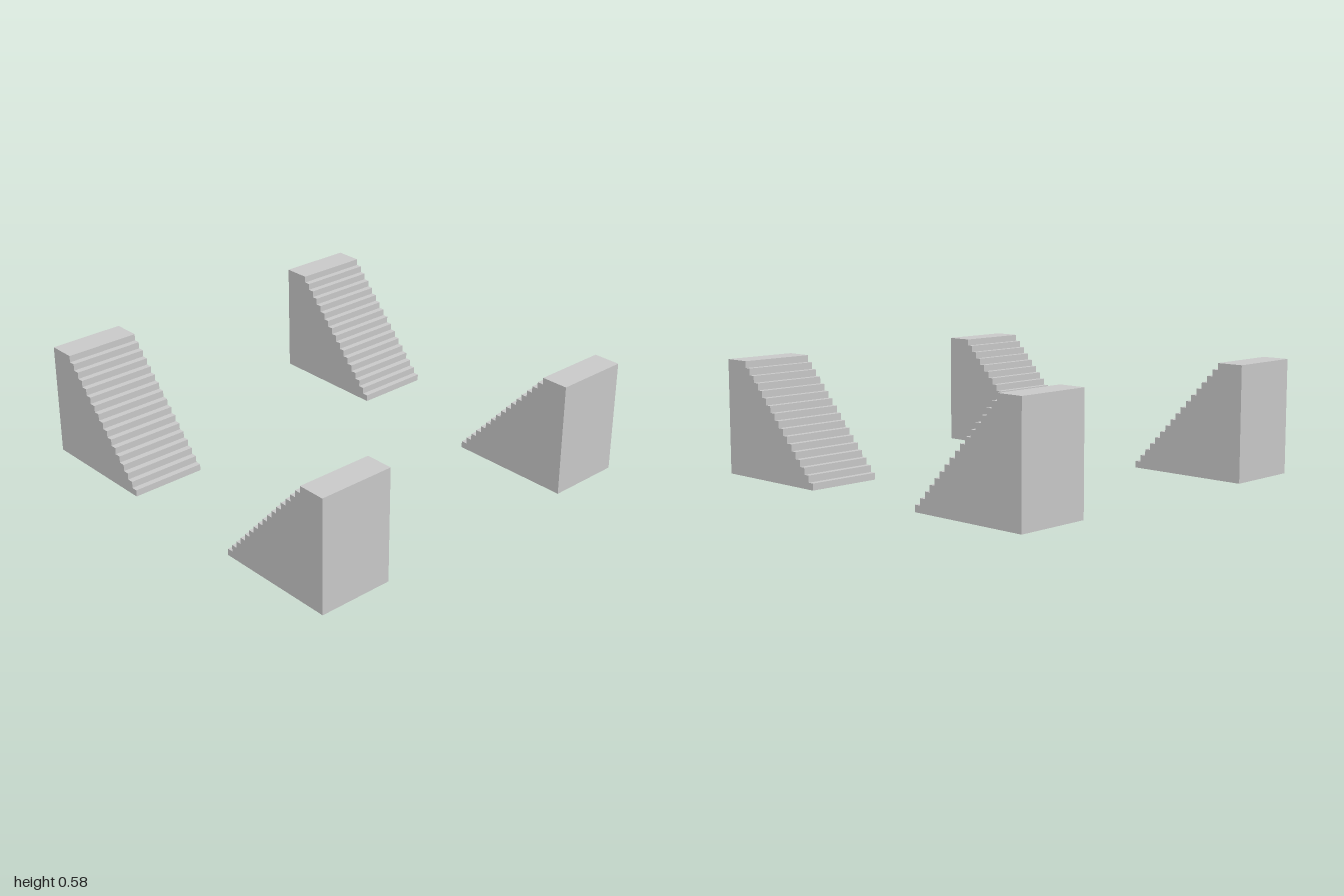
import * as THREE from 'three';

const STEPS = 17;           // levels, the last one being the landing
const INNER = 0.355, LANDING = 0.86, OUTER = 1;
const HEIGHT = 0.577;
const HALF_WIDTH = 0.195, ROW_Z = 0.768;

// Stepped outline, from the foot of the first riser to the foot of the tall wall
function stairProfile() {
  const run = (LANDING - INNER) / (STEPS - 1), rise = HEIGHT / STEPS;
  const points = [];
  for (let i = 0; i < STEPS; i++) {
    const x = INNER + i * run;
    points.push(new THREE.Vector2(x, i * rise), new THREE.Vector2(x, (i + 1) * rise));
  }
  points.push(new THREE.Vector2(OUTER, HEIGHT), new THREE.Vector2(OUTER, 0));
  return points;
}

// Sweeps an open outline across the stair width, one flat quad per segment
function sweepAcross(points, half) {
  const position = [];
  for (let i = 0; i < points.length - 1; i++) {
    const p = points[i], q = points[i + 1];
    position.push(
      p.x, p.y, -half, p.x, p.y, half, q.x, q.y, half,
      p.x, p.y, -half, q.x, q.y, half, q.x, q.y, -half);
  }
  const geometry = new THREE.BufferGeometry();
  geometry.setAttribute('position', new THREE.Float32BufferAttribute(position, 3));
  geometry.computeVertexNormals();
  return geometry;
}

export function createModel() {
  const model = new THREE.Group();
  model.name = 'staircases';
  const material = new THREE.MeshStandardMaterial({ color: 0xcccccc, side: THREE.DoubleSide });
  const profile = stairProfile();
  const stepsGeometry = sweepAcross(profile, HALF_WIDTH);
  const sideGeometry = new THREE.ShapeGeometry(new THREE.Shape(profile));

  // Four hollow staircases, open underneath, climbing outward
  for (const side of [1, -1]) {
    for (const row of [1, -1]) {
      const stair = new THREE.Group();
      stair.name = (row > 0 ? 'front' : 'back') + (side > 0 ? 'Left' : 'Right') + 'Staircase';

      // Treads, risers, landing and tall end wall
      const steps = new THREE.Mesh(stepsGeometry, material);
      steps.name = 'stepsAndEndWall';
      stair.add(steps);

      // Side walls
      for (const s of [1, -1]) {
        const wall = new THREE.Mesh(sideGeometry, material);
        wall.name = 'sideWall';
        wall.position.z = s * HALF_WIDTH;
        wall.scale.z = s;
        stair.add(wall);
      }

      stair.rotation.y = side > 0 ? 0 : Math.PI;
      stair.position.z = row * ROW_Z;
      model.add(stair);
    }
  }
  return model;
}
